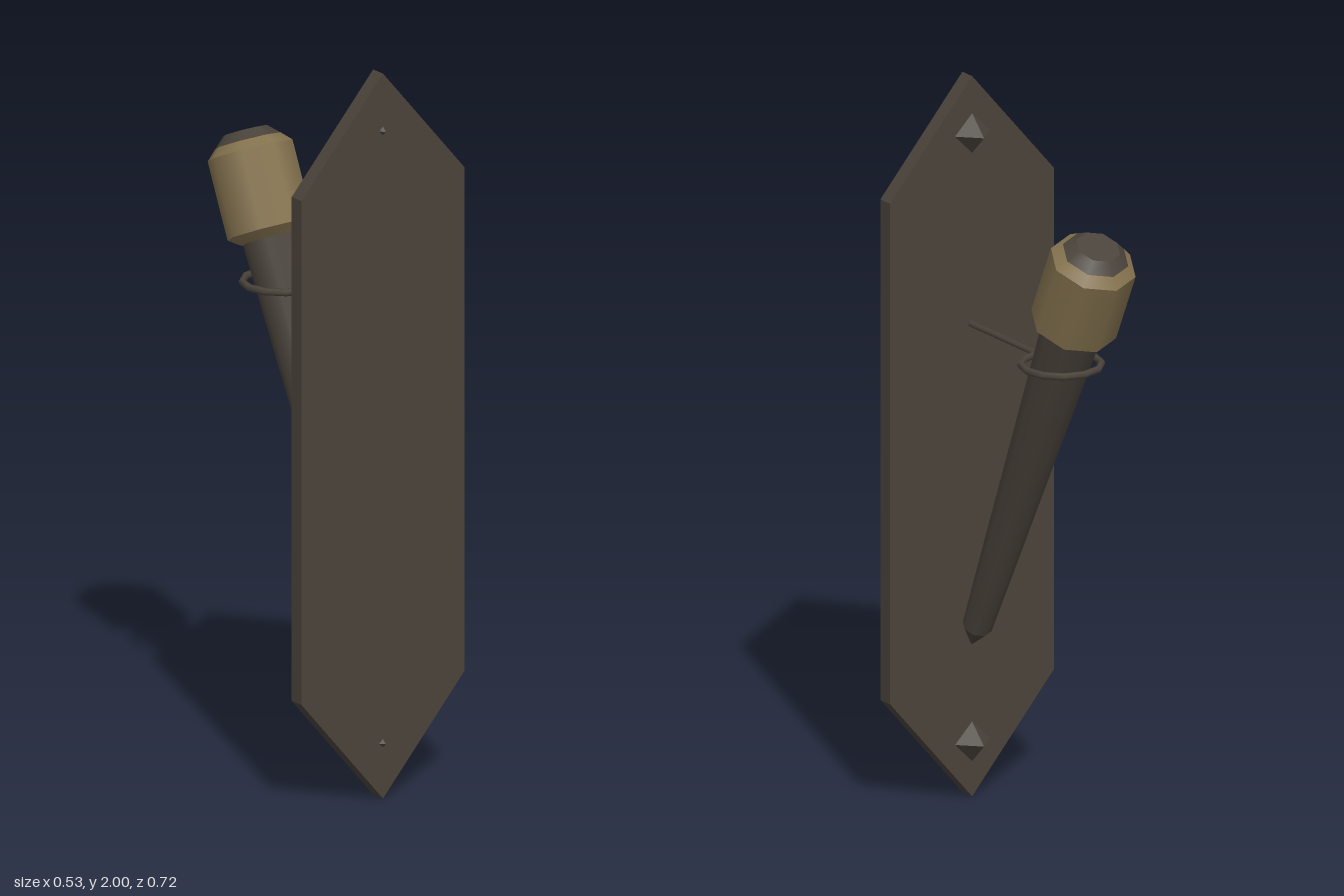
import * as THREE from 'three';

export function createModel() {
  const model = new THREE.Group();
  const iron = new THREE.MeshStandardMaterial({ color: 0x4a433b });
  iron.name = 'dark iron';
  const wrap = new THREE.MeshStandardMaterial({ color: 0x85734f });
  wrap.name = 'tan wrapping';

  const add = (parent, name, geometry, material, x = 0, y = 0, z = 0) => {
    const mesh = new THREE.Mesh(geometry, material);
    mesh.name = name;
    mesh.position.set(x, y, z);
    parent.add(mesh);
    return mesh;
  };

  // Wall plate: long hexagon with pointed ends
  const outline = new THREE.Shape([
    [0, 0], [0.263, 0.305], [0.263, 1.695], [0, 2], [-0.263, 1.695], [-0.263, 0.305],
  ].map(([x, y]) => new THREE.Vector2(x, y)));
  add(model, 'wallPlate', new THREE.ExtrudeGeometry(outline, { depth: 0.045, bevelEnabled: false }),
    iron, 0, 0, 0.305);

  // Pyramid studs, whose points just pierce the plate
  for (const [name, y] of [['lowerStud', 0.153], ['upperStud', 1.842]]) {
    add(model, name, new THREE.OctahedronGeometry(0.056), iron, 0, y, 0.306);
  }

  // Holding ring and the rod that ties it to the plate
  add(model, 'holdingRing', new THREE.TorusGeometry(0.107, 0.01, 6, 12).rotateX(Math.PI / 2),
    iron, 0, 1.313, -0.108);
  add(model, 'ringRod', new THREE.CylinderGeometry(0.009, 0.009, 0.315, 6).rotateX(Math.PI / 2),
    iron, 0.004, 1.313, 0.155);

  // Torch, leaning away from the plate; sections run along its own axis
  const torch = new THREE.Group();
  torch.name = 'torch';
  torch.position.set(0, 0.478, 0.282);
  torch.rotation.x = -0.435;
  model.add(torch);

  const sections = [
    // name, material, start, end, start radius, end radius, open
    ['handleTip', iron, -0.06, 0, 0.002, 0.04, true],
    ['handle', iron, 0, 1.045, 0.04, 0.081, true],
    ['headLowerBevel', wrap, 1.038, 1.061, 0.085, 0.118, false],
    ['headWrap', wrap, 1.061, 1.276, 0.118, 0.118, true],
    ['headUpperBevel', wrap, 1.276, 1.302, 0.118, 0.091, true],
    ['headCap', iron, 1.302, 1.33, 0.091, 0.061, false],
  ];
  for (const [name, material, from, to, r0, r1, open] of sections) {
    add(torch, name, new THREE.CylinderGeometry(r1, r0, to - from, 8, 1, open),
      material, 0, (from + to) / 2, 0);
  }

  return model;
}
